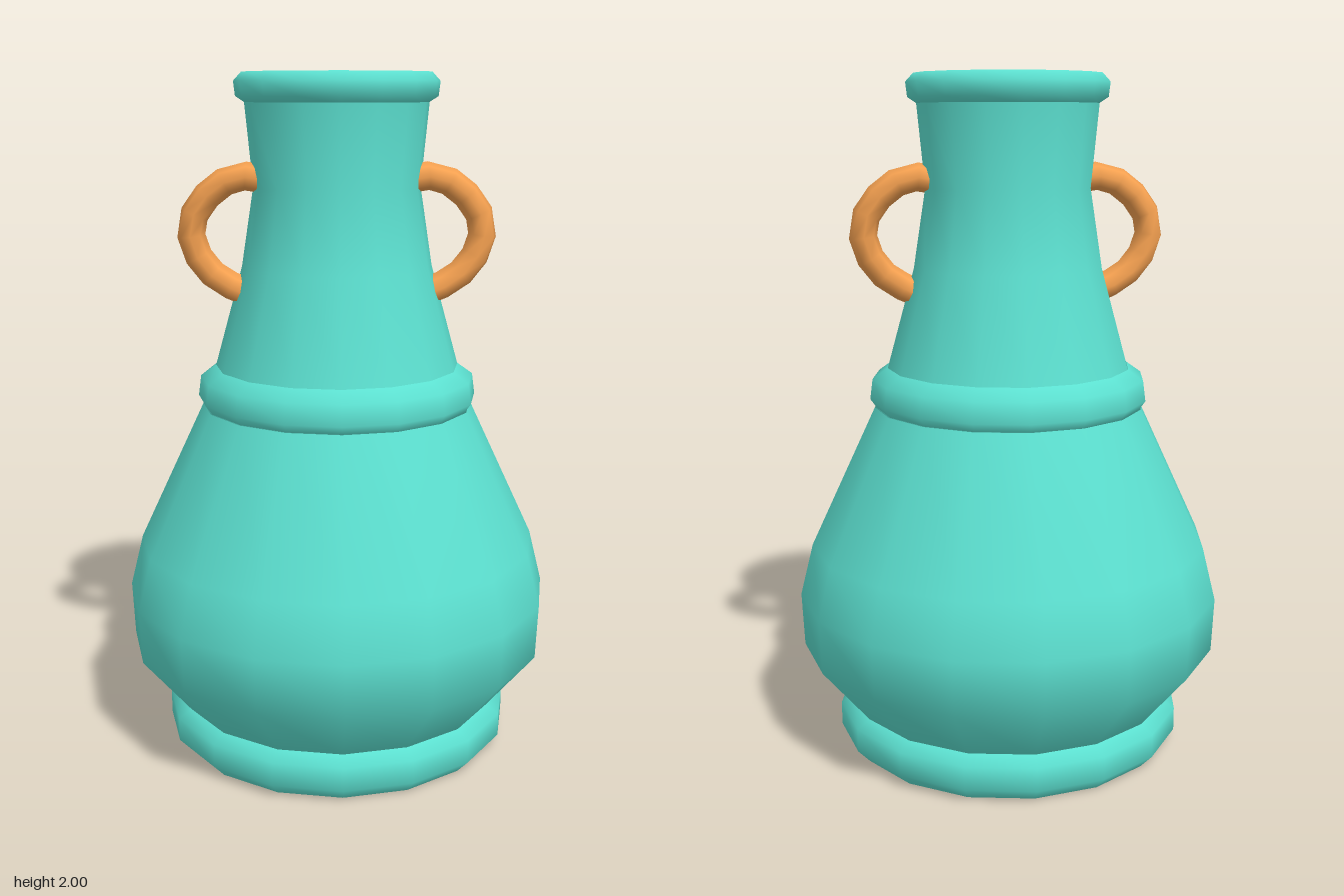
import * as THREE from 'three';

const glaze = new THREE.MeshStandardMaterial({ color: 0x5ce0d0, side: THREE.DoubleSide });
const clay = new THREE.MeshStandardMaterial({ color: 0xf4a050, side: THREE.DoubleSide });

// One turned section of the vase: [radius, height] pairs, bottom to top
function turned(name, profile) {
  const points = profile.map(([r, y]) => new THREE.Vector2(r, y));
  const mesh = new THREE.Mesh(new THREE.LatheGeometry(points, 16), glaze);
  mesh.name = name;
  return mesh;
}

// Curved handle with an oval section, slimmer in the middle of the bow
function handle(name, side) {
  const path = [
    [0.2, 1.7], [0.285, 1.709], [0.352, 1.675], [0.402, 1.62],
    [0.423, 1.565], [0.41, 1.495], [0.358, 1.425], [0.285, 1.383], [0.25, 1.37],
  ].map(([x, y]) => new THREE.Vector3(side * x, y, 0));
  const geometry = new THREE.TubeGeometry(new THREE.CatmullRomCurve3(path), 9, 0.041, 8);
  const pos = geometry.attributes.position;
  for (let i = 0; i < pos.count; i++) {
    const reach = THREE.MathUtils.smoothstep(Math.abs(pos.getX(i)), 0.25, 0.42);
    pos.setZ(i, pos.getZ(i) * (1.6 - 0.28 * reach) + 0.013);
  }
  // Average normals, then join them across the tube seam
  geometry.computeVertexNormals();
  const normal = geometry.attributes.normal;
  for (let i = 0; i < pos.count; i += 9) {
    const n = new THREE.Vector3().fromBufferAttribute(normal, i)
      .add(new THREE.Vector3().fromBufferAttribute(normal, i + 8)).normalize();
    normal.setXYZ(i, n.x, n.y, n.z);
    normal.setXYZ(i + 8, n.x, n.y, n.z);
  }
  const mesh = new THREE.Mesh(geometry, clay);
  mesh.name = name;
  return mesh;
}

export function createModel() {
  const vase = new THREE.Group();
  vase.name = 'vase';
  vase.add(
    // Open foot ring
    turned('foot', [[0.485, 0], [0.522, 0.04], [0.522, 0.11], [0.48, 0.135]]),
    // Bulging belly
    turned('belly', [[0.48, 0.13], [0.627, 0.31], [0.634, 0.47], [0.595, 0.625], [0.4, 1.04]]),
    // Raised band at the shoulder
    turned('shoulderBand', [[0.395, 1.04], [0.413, 1.065], [0.405, 1.125], [0.36, 1.157]]),
    // Neck narrowing, then flaring to the mouth
    turned('neck', [[0.36, 1.155], [0.278, 1.45], [0.242, 1.68], [0.265, 1.92]]),
    // Rolled rim
    turned('rim', [[0.262, 1.915], [0.29, 1.933], [0.295, 1.975], [0.272, 2],
      [0.235, 2], [0.213, 1.975], [0.215, 1.94], [0.262, 1.915]]),
    handle('leftHandle', 1),
    handle('rightHandle', -1),
  );
  return vase;
}
